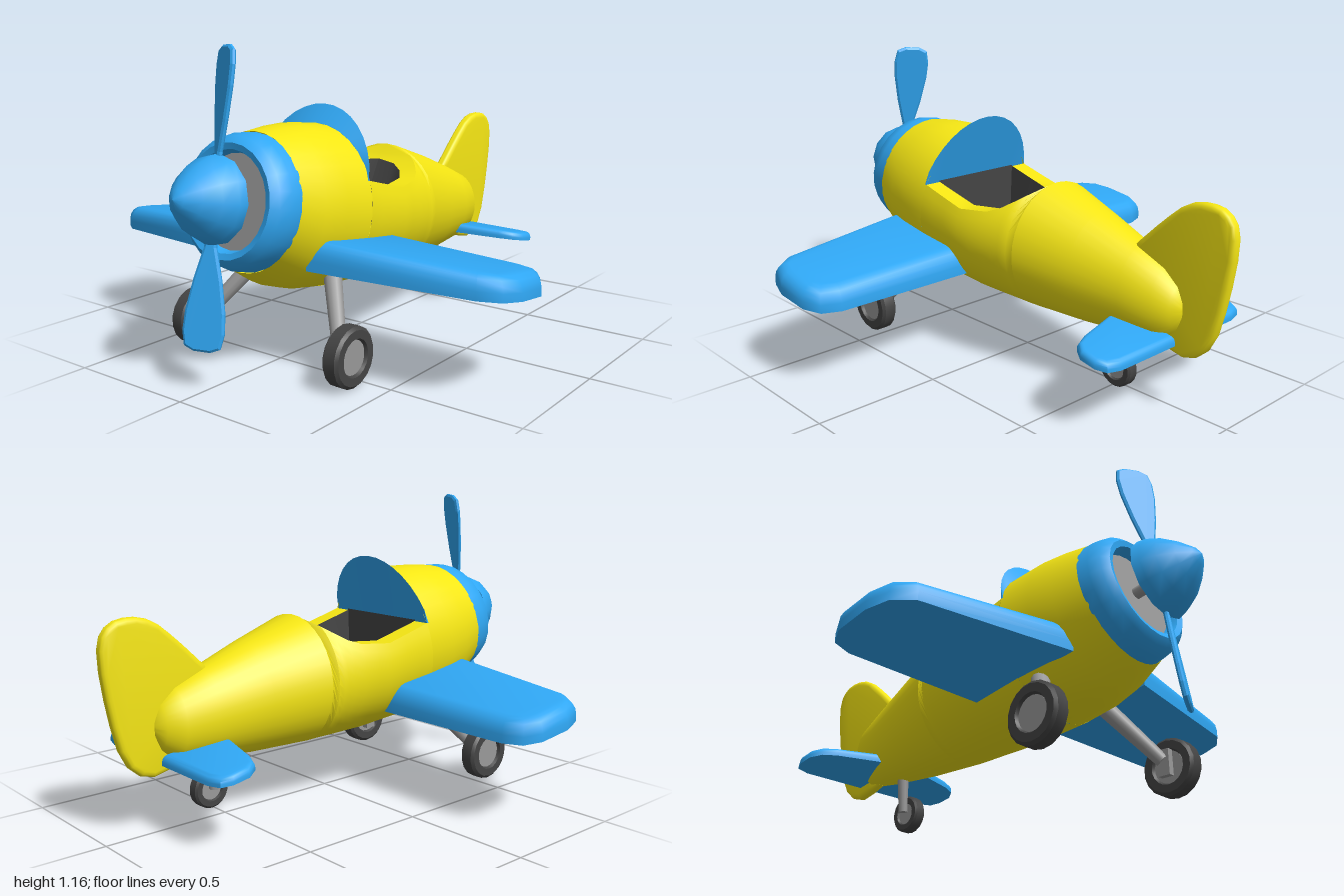
import * as THREE from 'three';
import { toCreasedNormals } from 'three/addons/utils/BufferGeometryUtils.js';

const mat = (color, side = THREE.FrontSide) => new THREE.MeshStandardMaterial({ color, side });
const YELLOW = 0xf5e614, BLUE = 0x30a8f5, DARK = 0x444444, GREY = 0x999999;
const V = (x, y, z) => new THREE.Vector3(x, y, z);

function add(parent, name, geometry, color, side) {
  const mesh = new THREE.Mesh(geometry, mat(color, side));
  mesh.name = name;
  parent.add(mesh);
  return mesh;
}

// Linear lookup in rows [key, a, b, ...] with falling keys
function lookup(rows, k) {
  let i = 0;
  while (i < rows.length - 2 && rows[i + 1][0] > k) i++;
  const p = rows[i], q = rows[i + 1];
  const f = THREE.MathUtils.clamp((p[0] - k) / (p[0] - q[0]), 0, 1);
  return p.map((v, n) => v + (q[n] - v) * f);
}

// Skin between rows of points running from nose to tail
function loft(rows) {
  const n = rows[0].length, index = [];
  for (let i = 0; i < rows.length - 1; i++) {
    for (let j = 0; j < n - 1; j++) {
      const a = i * n + j, c = a + n;
      index.push(a, c, a + 1, a + 1, c, c + 1);
    }
  }
  const g = new THREE.BufferGeometry().setFromPoints(rows.flat());
  g.setIndex(index);
  return toCreasedNormals(g, 0.75);
}

// Fuselage stations: z, bottom, top, half width, lean of the section
const STATIONS = [
  [0.66, 0.375, 0.86, 0.242, 0.19], [0.55, 0.305, 0.87, 0.27, 0.15], [0.45, 0.27, 0.872, 0.284, 0.13],
  [0.315, 0.247, 0.857, 0.291, 0.12], [0.1, 0.228, 0.8, 0.287, 0], [-0.17, 0.22, 0.725, 0.245, 0],
  [-0.4, 0.222, 0.65, 0.184, 0], [-0.6, 0.235, 0.575, 0.135, 0], [-0.72, 0.25, 0.525, 0.105, 0],
  [-0.78, 0.3, 0.475, 0.068, 0], [-0.805, 0.35, 0.425, 0.03, 0], [-0.81, 0.39, 0.39, 0.001, 0],
];
// Cockpit edge: z, rim height, half width of the opening
const RIM = [
  [0.315, 0.67, 0.2], [0.1, 0.615, 0.195], [-0.02, 0.622, 0.17], [-0.07, 0.64, 0.135],
  [-0.1, 0.66, 0.085], [-0.115, 0.67, 0], [-0.14, 0.69, 0], [-0.17, 0.725, 0],
];

// Arc of a fuselage section; angle 0 is the keel
function arc(z, from, to, n = 32) {
  const [, bottom, top, w, lean] = lookup(STATIONS, z);
  const cy = (top + bottom) / 2, h = (top - bottom) / 2;
  return Array.from({ length: n + 1 }, (_, i) => {
    const t = from + (to - from) * i / n, y = cy - h * Math.cos(t);
    return V(w * Math.sin(t), y, z - lean * (y - 0.62));
  });
}

function rimAngle(z) {
  const [, bottom, top] = lookup(STATIONS, z);
  const c = (lookup(RIM, z)[1] - (top + bottom) / 2) / ((top - bottom) / 2);
  return Math.acos(THREE.MathUtils.clamp(-c, -1, 1));
}

function fuselage(parent) {
  const zs = STATIONS.map(s => s[0]);
  const ring = z => arc(z, -Math.PI, Math.PI);
  const both = THREE.DoubleSide;
  add(parent, 'frontFuselage', loft(zs.filter(z => z > 0.3).map(ring)), YELLOW, both);
  add(parent, 'rearFuselage', loft(zs.filter(z => z < -0.16).map(ring)), YELLOW, both);

  // Open middle with rim, walls and floor
  const mid = [0.315, 0.25, 0.18, 0.1, 0.04, -0.02, -0.07, -0.1, -0.115, -0.14, -0.17];
  const sides = mid.map(z => arc(z, -rimAngle(z), rimAngle(z)));
  add(parent, 'cockpitSides', loft(sides), YELLOW, both);
  const floorY = 0.475, floorZ = z => z * 0.75 + 0.08;
  for (const s of [1, -1]) {
    const name = s > 0 ? 'left' : 'right';
    add(parent, name + 'CockpitRim', loft(sides.map((row, i) => {
      const p = row[s > 0 ? row.length - 1 : 0], r = lookup(RIM, mid[i]);
      return [p, V(s * r[2], p.y, p.z)];
    })), YELLOW, both);
    add(parent, name + 'CockpitWall', loft(mid.slice(0, 9).map(z => {
      const r = lookup(RIM, z);
      return [V(s * r[2], r[1], z), V(s * r[2] * 0.95, floorY, floorZ(z))];
    })), DARK, both);
  }
  add(parent, 'cockpitFloor', loft(mid.slice(0, 9).map(z => {
    const w = lookup(RIM, z)[2] * 0.95;
    return [V(-w, floorY, floorZ(z)), V(w, floorY, floorZ(z))];
  })), GREY, both);
  add(parent, 'cockpitBulkhead', new THREE.PlaneGeometry(0.4, 0.21).translate(0, 0.57, 0.312), DARK, both);

  // Windshield: flared band with a flat leaning back
  const a = rimAngle(0.315), base = arc(0.315, a, 2 * Math.PI - a, 16);
  const flare = base.map(p => {
    const s = Math.max(0, (p.y - 0.67) / 0.187), y = 0.67 + (p.y - 0.67) * 1.36;
    return V(p.x * (1 + 0.1 * Math.sqrt(s)), y, 0.318 - 0.33 * (y - 0.67));
  });
  add(parent, 'windshieldFrame', loft([base, flare]), BLUE, both);
  add(parent, 'windshieldBack', loft([flare, flare.map(p => V(p.x, 0.668, 0.316))]), BLUE, both);
}

// Flat-bottomed wing half from an outline of [x, z] points
function wing(outline, { y, slope, root, tip, bevel }) {
  const shape = new THREE.Shape(outline.map(([x, z]) => new THREE.Vector2(x, -z)));
  const g = new THREE.ExtrudeGeometry(shape, {
    depth: 0.35, bevelThickness: 0.65, bevelSize: bevel, bevelOffset: -bevel, bevelSegments: 4,
  }).rotateX(-Math.PI / 2);
  const p = g.attributes.position, span = Math.max(...outline.map(o => o[0]));
  for (let i = 0; i < p.count; i++) {
    const thick = root + (tip - root) * p.getX(i) / span;
    p.setY(i, y + slope * p.getZ(i) + Math.max(0, p.getY(i)) * thick);
  }
  return toCreasedNormals(g, 0.8);
}

// Lathe whose axis runs along +z
const latheZ = (pts, n) =>
  toCreasedNormals(new THREE.LatheGeometry(pts.map(p => new THREE.Vector2(...p)), n).rotateX(Math.PI / 2), 0.7);

function nose(parent) {
  const cowl = new THREE.Group();
  cowl.name = 'cowling';
  cowl.position.set(0, 0.6175, 0.66);
  cowl.rotation.x = -0.19;
  parent.add(cowl);
  add(cowl, 'cowlRing', latheZ([[0.245, -0.005], [0.241, 0.04], [0.226, 0.085], [0.2, 0.108],
    [0.178, 0.102], [0.168, 0.06], [0.168, 0]], 24), BLUE, THREE.DoubleSide);
  add(cowl, 'engineFace', new THREE.CircleGeometry(0.17, 24).translate(0, 0, 0.06), GREY);

  const prop = new THREE.Group();
  prop.name = 'propeller';
  prop.position.set(0, 0.652, 0.815);
  prop.rotation.x = -0.155;
  parent.add(prop);
  add(prop, 'spinner', latheZ([[0, 0], [0.155, 0], [0.148, 0.03], [0.122, 0.08], [0.08, 0.13],
    [0.035, 0.17], [0, 0.187]], 12), BLUE, THREE.DoubleSide);
  add(prop, 'shaft', new THREE.CylinderGeometry(0.022, 0.022, 0.13, 12).rotateX(Math.PI / 2).translate(0, 0, -0.06), GREY);

  const half = [[0.018, 0.03], [0.022, 0.16], [0.05, 0.27], [0.07, 0.38], [0.074, 0.45], [0.064, 0.5], [0.03, 0.515]];
  const outline = [...half, ...half.map(([x, y]) => [-x, y]).reverse()].map(p => new THREE.Vector2(...p));
  const blade = new THREE.ExtrudeGeometry(new THREE.Shape(outline), {
    depth: 0.008, bevelThickness: 0.006, bevelSize: 0.008, bevelOffset: -0.008, bevelSegments: 1,
  }).translate(0, 0, -0.004).rotateY(-0.45);
  for (let i = 0; i < 2; i++) add(prop, 'blade', blade, BLUE).rotation.z = i * Math.PI;
}

function wheel(parent, name, r, w, x, y, z) {
  const g = new THREE.Group();
  g.name = name;
  g.position.set(x, y, z);
  g.rotation.y = Math.PI / 2;
  parent.add(g);
  const h = w / 2, k = r * 0.57;
  add(g, 'tire', latheZ([[k, -h * 0.6], [k * 1.1, -h], [r * 0.9, -h], [r, -h * 0.7], [r, h * 0.7],
    [r * 0.9, h], [k * 1.1, h], [k, h * 0.6]], 18), DARK, THREE.DoubleSide);
  add(g, 'hub', new THREE.CylinderGeometry(k, k, w * 0.65, 18).rotateX(Math.PI / 2), GREY);
}

function strut(parent, name, from, to, r0, r1) {
  const d = to.clone().sub(from);
  const m = add(parent, name, new THREE.CylinderGeometry(r1, r0, d.length(), 12), GREY);
  m.position.copy(from).addScaledVector(d, 0.5);
  m.quaternion.setFromUnitVectors(V(0, 1, 0), d.normalize());
}

export function createModel() {
  const plane = new THREE.Group();
  plane.name = 'airplane';
  fuselage(plane);
  nose(plane);

  // Wings, tailplane and main gear, mirrored
  const wingGeo = wing([[0.2, 0.13], [0.8, 0.13], [0.875, 0.155], [0.91, 0.22], [0.915, 0.36], [0.89, 0.445],
    [0.82, 0.495], [0.2, 0.585]], { y: 0.31, slope: 0.13, root: 0.125, tip: 0.085, bevel: 0.05 });
  const tailGeo = wing([[0.03, -0.785], [0.31, -0.785], [0.365, -0.77], [0.385, -0.73], [0.385, -0.665], [0.355, -0.62],
    [0.3, -0.595], [0.03, -0.53]], { y: 0.388, slope: 0.175, root: 0.042, tip: 0.034, bevel: 0.02 });
  for (const s of [1, -1]) {
    const side = new THREE.Group();
    side.name = s > 0 ? 'leftSide' : 'rightSide';
    side.scale.x = s;
    plane.add(side);
    add(side, 'wing', wingGeo, BLUE);
    add(side, 'tailplane', tailGeo, BLUE);
    strut(side, 'mainStrut', V(0.15, 0.38, 0.385), V(0.32, 0.13, 0.555), 0.036, 0.026);
    add(side, 'axleBracket', new THREE.BoxGeometry(0.025, 0.1, 0.05).translate(0.325, 0.12, 0.563), GREY);
    wheel(side, 'mainWheel', 0.11, 0.067, 0.367, 0.11, 0.565);
  }

  // Fin
  const finShape = new THREE.Shape();
  finShape.moveTo(-0.565, 0.565);
  finShape.splineThru([[-0.68, 0.675], [-0.79, 0.765], [-0.885, 0.788], [-0.965, 0.765], [-1, 0.68], [-0.975, 0.48],
    [-0.92, 0.285], [-0.82, 0.21], [-0.68, 0.245]].map(p => new THREE.Vector2(...p)));
  const fin = new THREE.ExtrudeGeometry(finShape, {
    depth: 0.014, bevelThickness: 0.016, bevelSize: 0.02, bevelOffset: -0.02, bevelSegments: 3, curveSegments: 2,
  }).translate(0, 0, -0.007).rotateY(-Math.PI / 2);
  add(plane, 'fin', toCreasedNormals(fin, 0.8), YELLOW);

  // Tail wheel
  strut(plane, 'tailStrut', V(0, 0.26, -0.535), V(0.012, 0.1, -0.54), 0.024, 0.018);
  wheel(plane, 'tailWheel', 0.075, 0.05, 0.045, 0.095, -0.54);
  return plane;
}
